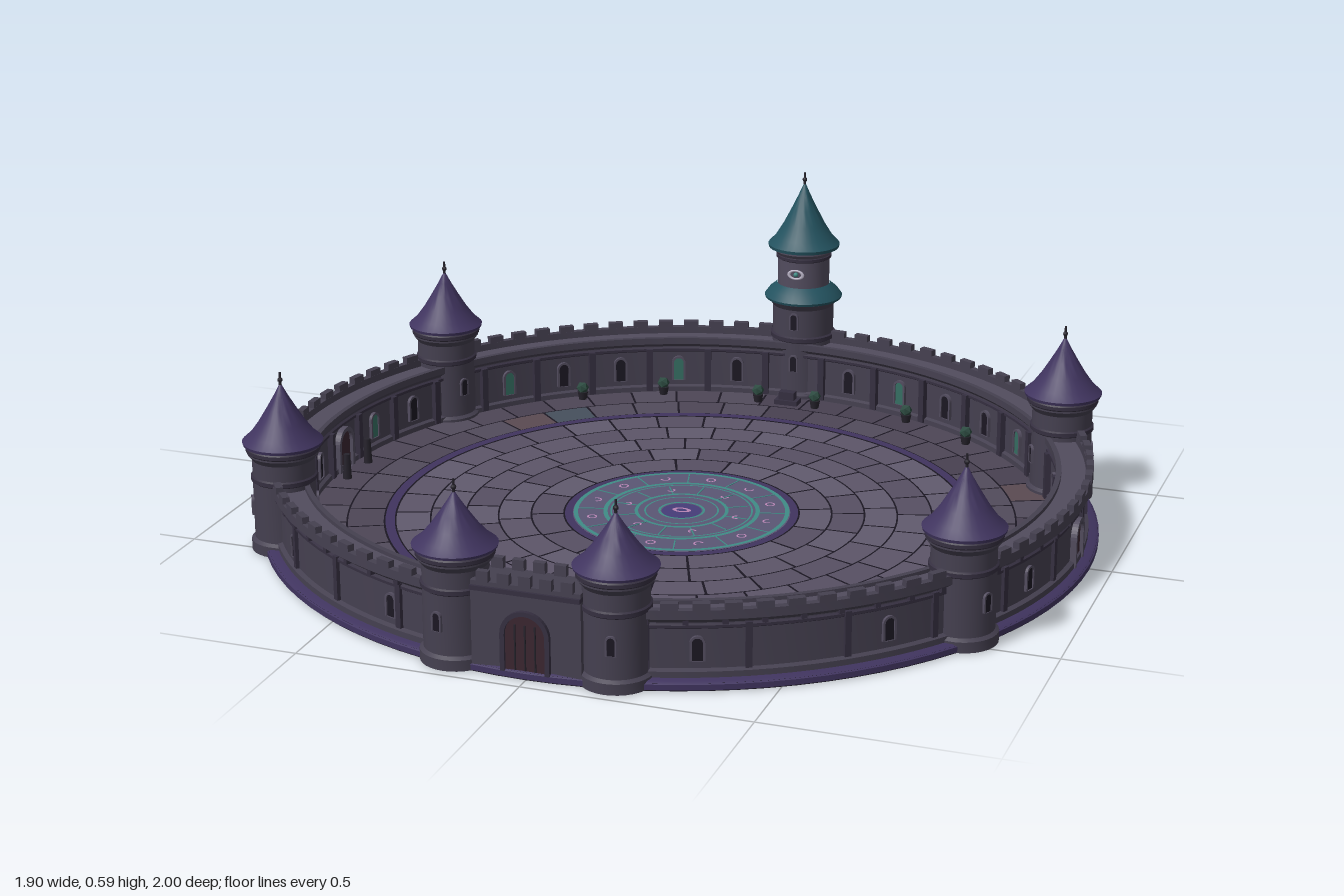
import * as THREE from 'three';
import { mergeGeometries, toCreasedNormals } from 'three/addons/utils/BufferGeometryUtils.js';

const RAD = Math.PI / 180, FLOOR = 0.02;
const C = { stone: 0x454050, stoneLight: 0x524c5e, trim: 0x352f40, dark: 0x1b1722, purple: 0x40345f,
  teal: 0x23525f, glow: 0x3f8c86, pink: 0xb884b4, door: 0x3a2630, gold: 0xc08a3c, iron: 0x26232c, leaf: 0x2c4a40 };

let seed = 7;
const rnd = () => (seed = (seed * 16807) % 2147483647) / 2147483647;

export function createModel() {
  const root = new THREE.Group();
  root.name = 'roundCastle';
  const court = new THREE.Group();
  court.name = 'courtyard';
  court.position.z = 0.019;
  root.add(court);

  // Merge a list of geometries into one named, coloured mesh
  const add = (name, color, geos, parent = court) => {
    const list = [geos].flat().map((g) => (g.index ? g.toNonIndexed() : g));
    const m = new THREE.Mesh(mergeGeometries(list), new THREE.MeshStandardMaterial({ color }));
    m.name = name;
    parent.add(m);
    return m;
  };
  // Place a geometry on the circle: azimuth from the front, facing outward
  const at = (g, az, r, y) => g.rotateY(az * RAD).translate(Math.sin(az * RAD) * r, y, Math.cos(az * RAD) * r);
  const box = (w, h, d, az, r, y) => at(new THREE.BoxGeometry(w, h, d), az, r, y);
  const lathe = (pts, n = 32) => toCreasedNormals(
    new THREE.LatheGeometry(pts.map((p) => new THREE.Vector2(...p)), n), 0.6);
  const cyl = (r0, r1, h, x, y, z, n = 8) => new THREE.CylinderGeometry(r0, r1, h, n).translate(x, y + h / 2, z);
  const flatRing = (r0, r1, y, n = 64, t0 = 0, t = Math.PI * 2) =>
    new THREE.RingGeometry(r0, r1, n, 1, t0, t).rotateX(-Math.PI / 2).translate(0, y, 0);
  const archShape = (w, h) => {
    const s = new THREE.Shape();
    s.moveTo(-w, 0).lineTo(w, 0).lineTo(w, h - w).absarc(0, h - w, w, 0, Math.PI, false).lineTo(-w, 0);
    return s;
  };
  const arch = (w, h, d, az, r, y) => at(new THREE.ExtrudeGeometry(archShape(w, h),
    { depth: d, bevelEnabled: false, curveSegments: 8 }).translate(0, 0, -d / 2), az, r, y);
  const archFrame = (w, h, t, d, az, r, y) => {
    const s = archShape(w + t, h + t);
    s.holes.push(archShape(w, h));
    return at(new THREE.ExtrudeGeometry(s, { depth: d, bevelEnabled: false, curveSegments: 8 })
      .translate(0, 0, -d / 2), az, r, y);
  };

  // Base slab, its rim and the disc underneath
  add('baseSlab', C.dark, cyl(0.949, 0.949, 0.017, 0, 0.001, 0, 96));
  add('baseRim', C.purple, lathe([[0.948, 0.002], [0.952, 0.004], [0.952, 0.016], [0.944, 0.021], [0.9, 0.021]], 96));
  add('undersideDisc', 0x29443f, new THREE.CircleGeometry(0.249, 48).rotateX(Math.PI / 2));

  // Paving: rings of slabs with dark joints
  const tints = [0x5c5568, 0x575063, 0x615a6e, 0x655666, 0x52586a], tiles = tints.map(() => []);
  const outerTints = [0x4d4656, 0x484151, 0x524b5b, 0x5a4a52, 0x46505c], outer = tints.map(() => []);
  const pick = () => { const v = rnd(); return v < 0.45 ? 0 : v < 0.7 ? 1 : v < 0.94 ? 2 : v < 0.97 ? 3 : 4; };
  const edges = [0.27, 0.345, 0.42, 0.495, 0.575, 0.655, 0.68, 0.765, 0.86];
  edges.slice(0, -1).forEach((r0, k) => {
    if (k === 5) return;
    const r1 = edges[k + 1], n = Math.round((r0 * 2 * Math.PI) / 0.105), gap = 0.005 / r0, off = rnd();
    for (let i = 0; i < n; i++) {
      const len = (Math.PI * 2) / n;
      (k > 5 ? outer : tiles)[pick()].push(flatRing(r0 + 0.002, r1 - 0.002, FLOOR, 4, (i + off) * len, len - gap));
    }
  });
  tints.forEach((c, i) => {
    if (tiles[i].length) add('innerPaving', c, tiles[i]);
    if (outer[i].length) add('outerPaving', outerTints[i], outer[i]);
  });
  add('pavingBand', C.purple, [flatRing(0.657, 0.678, FLOOR + 0.001, 96), flatRing(0.249, 0.268, FLOOR)]);

  // Central medallion
  add('medallion', 0x5a5674, new THREE.CircleGeometry(0.25, 64).rotateX(-Math.PI / 2).translate(0, FLOOR + 0.001, 0));
  const lines = [[0.238, 0.248], [0.17, 0.18], [0.16, 0.164], [0.1, 0.108], [0.082, 0.086], [0.048, 0.054]]
    .map(([a, b]) => flatRing(a, b, FLOOR + 0.003));
  for (let i = 0; i < 12; i++)
    lines.push(box(0.003, 0.001, 0.06, i * 30 + 15, 0.21, FLOOR + 0.002), box(0.003, 0.001, 0.05, i * 30, 0.132, FLOOR + 0.002));
  add('medallionLines', C.glow, lines);
  const marks = [];
  for (let i = 0; i < 12; i++) {
    const a = i * Math.PI / 6;
    marks.push(flatRing(0.008, 0.012, FLOOR + 0.003, 12, a, i % 2 ? 4 : 6.283).translate(Math.sin(a) * 0.208, 0, Math.cos(a) * 0.208));
    if (i % 2) marks.push(flatRing(0.006, 0.01, FLOOR + 0.003, 12, a, 4).translate(Math.sin(a) * 0.132, 0, Math.cos(a) * 0.132));
  }
  marks.push(flatRing(0.008, 0.014, FLOOR + 0.004, 16).scale(1.6, 1, 1));
  add('medallionMarks', C.pink, marks);
  add('medallionCentre', 0x463c78, new THREE.CircleGeometry(0.046, 32).rotateX(-Math.PI / 2).translate(0, FLOOR + 0.002, 0));

  // Curtain wall ring with plinth, walkway and parapet
  add('curtainWall', C.stone, lathe([[0.928, 0.018], [0.928, 0.034], [0.918, 0.038], [0.918, 0.138], [0.934, 0.15],
    [0.934, 0.17], [0.918, 0.17], [0.918, 0.153], [0.862, 0.153], [0.862, 0.162], [0.85, 0.162], [0.85, 0.146],
    [0.858, 0.138], [0.858, 0.036], [0.85, 0.032], [0.85, 0.018]], 128));
  add('walkway', C.stoneLight, flatRing(0.863, 0.917, 0.154, 96));
  add('wallMoulding', C.trim, [lathe([[0.918, 0.124], [0.923, 0.127], [0.923, 0.133], [0.918, 0.136]], 96),
    lathe([[0.858, 0.136], [0.853, 0.133], [0.853, 0.127], [0.858, 0.124]], 96)]);
  const merlons = [], piers = [], corbels = [];
  for (let a = 2; a < 360; a += 4) merlons.push(box(0.036, 0.016, 0.016, a, 0.926, 0.177));
  for (let a = 15; a < 350; a += 5) {
    corbels.push(box(0.012, 0.014, 0.012, a, 0.924, 0.144));
    if (a % 10 === 5) piers.push(box(0.016, 0.11, 0.016, a, 0.852, 0.078));
  }
  for (let a = 15; a < 350; a += 13) piers.push(box(0.014, 0.1, 0.012, a, 0.92, 0.088));
  add('merlons', C.stone, merlons);
  add('corbels', C.trim, corbels);
  add('pilasters', C.trim, piers);

  // Windows on both faces of the wall
  const holes = [], frames = [], panes = [];
  for (const s of [1, -1]) {
    for (const a of [21.5, 47, 73, 107, 133, 159]) {
      holes.push(arch(0.011, 0.05, 0.006, s * a, 0.918, 0.055));
      frames.push(archFrame(0.011, 0.05, 0.005, 0.012, s * a, 0.918, 0.055));
    }
    for (let a = 20; a < 175; a += 10) {
      if (a === 90) continue;
      frames.push(archFrame(0.012, 0.058, 0.005, 0.012, s * a, 0.856, 0.05));
      (a % 30 === 10 ? panes : holes).push(arch(0.012, 0.058, 0.006, s * a, 0.856, 0.05));
    }
  }
  add('windowOpenings', C.dark, holes);
  add('windowFrames', C.stoneLight, frames);
  add('stainedPanes', 0x356e62, panes);

  // Side doorways
  for (const s of [90, -90]) {
    add('sideDoor', C.door, [arch(0.03, 0.095, 0.01, s, 0.856, FLOOR), arch(0.03, 0.095, 0.01, s, 0.918, FLOOR)]);
    add('sideDoorFrame', C.stoneLight, [archFrame(0.03, 0.095, 0.01, 0.022, s, 0.854, FLOOR),
      archFrame(0.03, 0.095, 0.01, 0.022, s, 0.92, FLOOR)]);
    for (const d of [-4, 4]) add('doorPost', C.iron, cyl(0.008, 0.011, 0.06, Math.sin((s + d) * RAD) * 0.82, FLOOR, Math.cos((s + d) * RAD) * 0.82));
  }

  // Flared conical roof with finial: y of the eave, radius, height
  const roof = (y, r, h, color, g) => {
    const prof = [[0.72, 0], [0.98, -0.03], [1, 0.02], [0.8, 0.14], [0.58, 0.34], [0.36, 0.58], [0.17, 0.8], [0.03, 0.98], [0, 1]];
    add('roof', color, lathe(prof.map(([a, b]) => [a * r, y + b * h])), g);
    add('finial', C.iron, [cyl(0.0025, 0.0035, 0.034, 0, y + h - 0.008, 0, 6),
      new THREE.SphereGeometry(0.006, 8, 6).translate(0, y + h + 0.008, 0)], g);
  };
  const tower = (name, az, r) => {
    const g = new THREE.Group();
    g.name = name;
    g.position.set(Math.sin(az * RAD) * r, 0, Math.cos(az * RAD) * r);
    g.rotation.y = az * RAD;
    court.add(g);
    return g;
  };
  const slits = (g, y, r, list) => {
    add('slitWindow', C.dark, list.map((a) => arch(0.008, 0.04, 0.008, a, r, y)), g);
    add('slitFrame', C.stoneLight, list.map((a) => archFrame(0.008, 0.04, 0.004, 0.012, a, r, y)), g);
  };

  // Wall towers and gate towers
  const spots = [[60, 0.902, 0.135], [120, 0.902, 0.135], [11.2, 0.904, 0.115]];
  for (const s of [1, -1]) for (const [az, r, h] of spots) {
    const g = tower(az < 20 ? 'gateTower' : 'wallTower', s * az, r);
    add('shaft', C.stone, lathe([[0.078, 0.002], [0.078, 0.026], [0.07, 0.032], [0.07, 0.215], [0.08, 0.228], [0.08, 0.252]]), g);
    add('bands', C.trim, [lathe([[0.07, 0.164], [0.074, 0.167], [0.074, 0.176], [0.07, 0.179]]),
      lathe([[0.08, 0.232], [0.083, 0.235], [0.083, 0.243], [0.08, 0.246]])], g);
    slits(g, 0.085, 0.069, [0, 180]);
    roof(0.253, 0.09, h, C.purple, g);
  }

  // Tall back tower with skirt roof and upper drum
  const keep = tower('backTower', 180, 0.925);
  add('shaft', C.stone, lathe([[0.088, 0.002], [0.088, 0.028], [0.077, 0.034], [0.077, 0.25], [0.088, 0.265], [0.088, 0.275]]), keep);
  add('skirtRoof', C.teal, lathe([[0.08, 0.268], [0.096, 0.268], [0.098, 0.274], [0.086, 0.29], [0.066, 0.306]]), keep);
  add('drum', C.stoneLight, lathe([[0.065, 0.29], [0.065, 0.38], [0.074, 0.392], [0.074, 0.405]]), keep);
  add('bands', C.trim, [lathe([[0.077, 0.164], [0.082, 0.167], [0.082, 0.177], [0.077, 0.18]]),
    lathe([[0.065, 0.372], [0.07, 0.375], [0.07, 0.382], [0.065, 0.385]])], keep);
  slits(keep, 0.09, 0.076, [0, 90, 180, 270]);
  slits(keep, 0.2, 0.076, [0, 180]);
  roof(0.405, 0.09, 0.16, C.teal, keep);
  for (const a of [0, 180]) {
    add('eyeOrnament', 0xb9b3c6, at(new THREE.TorusGeometry(0.012, 0.003, 6, 20).scale(1.5, 0.9, 1), a, 0.067, 0.342), keep);
    add('eyePupil', C.glow, at(new THREE.SphereGeometry(0.006, 10, 8), a, 0.066, 0.342), keep);
  }

  // Gatehouse between the front towers
  const gate = tower('gatehouse', 0, 0.9);
  add('gateWall', C.stone, new THREE.BoxGeometry(0.24, 0.185, 0.085).translate(0, 0.11, 0), gate);
  const teeth = [], walls = [1, -1];
  for (const z of walls) for (let i = -2; i <= 2; i++)
    teeth.push(new THREE.BoxGeometry(0.026, 0.024, 0.014).translate(i * 0.046, 0.214, z * 0.04));
  add('gateMerlons', C.stone, teeth, gate);
  add('gateMoulding', C.trim, new THREE.BoxGeometry(0.24, 0.01, 0.097).translate(0, 0.188, 0), gate);
  add('gateDoor', C.door, arch(0.044, 0.125, 0.092, 0, 0, 0.016), gate);
  add('gateArch', C.trim, archFrame(0.044, 0.125, 0.01, 0.104, 0, 0, 0.016), gate);
  const planks = [];
  for (const z of walls) for (const x of [-0.022, 0, 0.022])
    planks.push(new THREE.BoxGeometry(0.003, 0.1, 0.004).translate(x, 0.07, z * 0.047));
  add('doorPlanks', C.iron, planks, gate);

  // Courtyard furniture: lanterns, planters, altar
  for (const s of [1, -1]) {
    add('lanternPost', C.iron, [cyl(0.004, 0.009, 0.045, s * 0.087, FLOOR, 0.8), cyl(0.002, 0.013, 0.008, s * 0.087, 0.083, 0.8)]);
    add('lanternLight', C.gold, new THREE.SphereGeometry(0.012, 10, 8).translate(s * 0.087, 0.074, 0.8));
    for (const [x, z] of [[0.5, -0.66], [0.32, -0.765], [0.515, 0.655], [0.225, 0.8], [0.075, -0.79]]) {
      add('planter', C.iron, cyl(0.014, 0.01, 0.02, s * x, FLOOR, z));
      add('shrub', C.leaf, new THREE.IcosahedronGeometry(0.016, 0).translate(s * x, FLOOR + 0.03, z));
    }
  }
  add('altar', C.trim, [new THREE.BoxGeometry(0.06, 0.012, 0.035).translate(0, 0.026, -0.8),
    new THREE.BoxGeometry(0.04, 0.024, 0.022).translate(0, 0.04, -0.8)]);
  return root;
}
